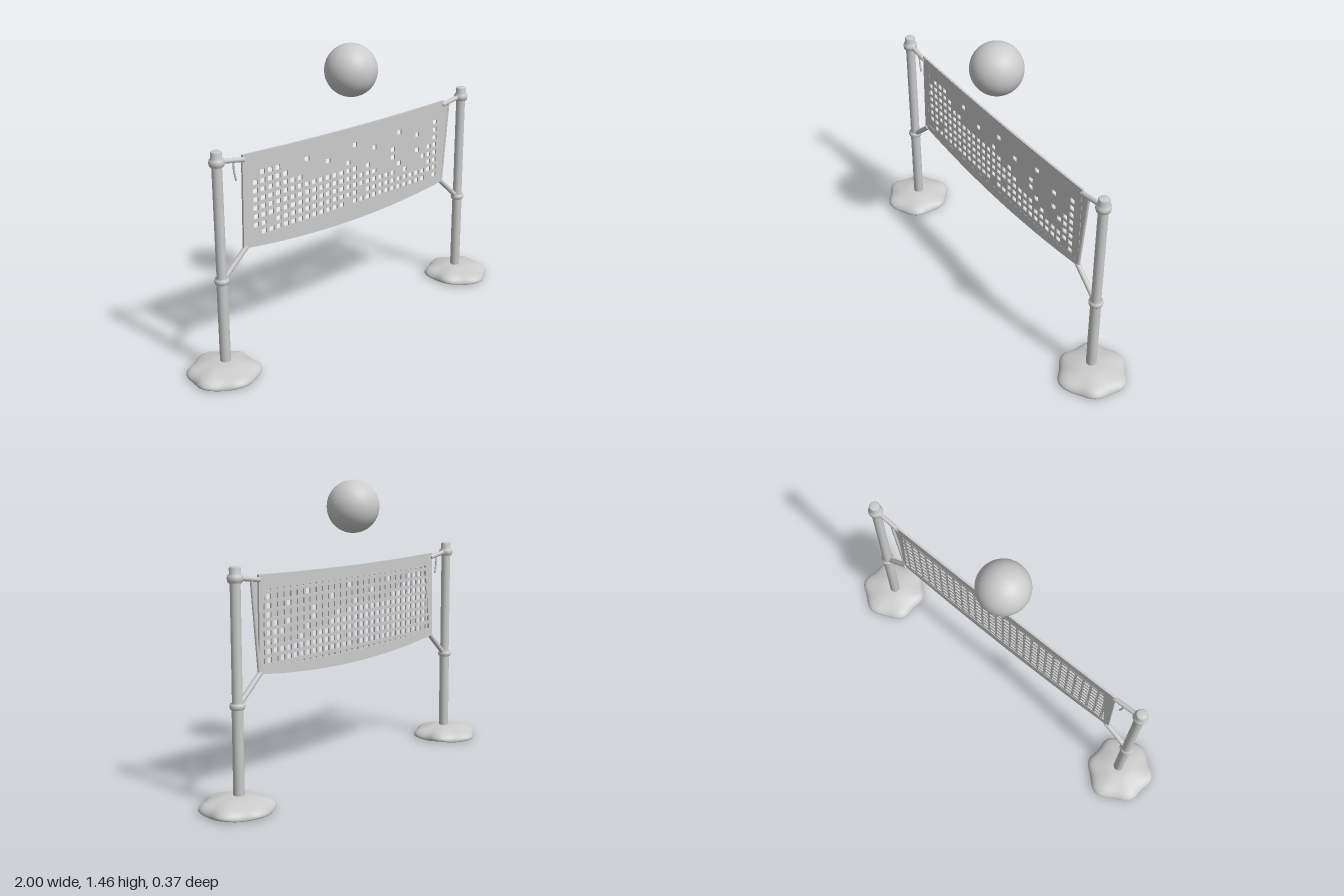
import * as THREE from 'three';

const V = (x, y, z = 0) => new THREE.Vector3(x, y, z);

export function createModel() {
  const model = new THREE.Group();
  const solid = new THREE.MeshStandardMaterial({ color: 0xcccccc });
  const sheet = new THREE.MeshStandardMaterial({ color: 0xcccccc, side: THREE.DoubleSide });

  const add = (name, geometry, parent = model, material = solid) => {
    const mesh = new THREE.Mesh(geometry, material);
    mesh.name = name;
    parent.add(mesh);
    return mesh;
  };

  // Round rod between two points
  const rod = (name, a, b, r, parent) => {
    const dir = b.clone().sub(a);
    const mesh = add(name, new THREE.CylinderGeometry(r, r, dir.length(), 12), parent);
    mesh.position.copy(a).add(b).multiplyScalar(0.5);
    mesh.quaternion.setFromUnitVectors(V(0, 1, 0), dir.normalize());
  };

  // Ball floating above the net
  add('ball', new THREE.SphereGeometry(0.13, 40, 28)).position.y = 1.341;

  // Post profile: shaft, middle collar, top collar and cap
  const postProfile = [
    [0, 0.012], [0.026, 0.012], [0.026, 0.47], [0.033, 0.475], [0.036, 0.487], [0.033, 0.498],
    [0.024, 0.503], [0.024, 1.035], [0.034, 1.045], [0.037, 1.06], [0.034, 1.073],
    [0.026, 1.08], [0.027, 1.105], [0.022, 1.112], [0, 1.112],
  ].map(([r, y]) => new THREE.Vector2(r, y));

  // Lobed sand mound with a hollow underside
  const moundProfile = new THREE.SplineCurve([
    [0, 0.036], [0.07, 0.034], [0.13, 0.023], [0.157, 0.011], [0.168, 0.014],
    [0.166, 0.029], [0.148, 0.047], [0.11, 0.062], [0.055, 0.075], [0, 0.077],
  ].map(([r, y]) => new THREE.Vector2(r, y))).getPoints(36);
  moundProfile.forEach((p) => { p.x = Math.max(p.x, 0); });

  const moundGeometry = () => {
    const g = new THREE.LatheGeometry(moundProfile, 84);
    const p = g.attributes.position;
    for (let i = 0; i < p.count; i++) {
      const x = p.getX(i), z = p.getZ(i), a = Math.atan2(z, x);
      const t = Math.hypot(x, z) / 0.168;
      const wave = Math.cos(6 * a + 0.35 * Math.sin(2 * a) + 2.6);
      const s = 1 + (0.05 * wave + 0.02 * Math.cos(3 * a + 1)) * t ** 3;
      p.setXYZ(i, x * s, p.getY(i) + 0.004 * t ** 3 * wave, z * s * 1.03);
    }
    g.computeVertexNormals();
    return g;
  };

  for (const side of [-1, 1]) {
    const stand = new THREE.Group();
    stand.name = side > 0 ? 'leftStand' : 'rightStand';
    model.add(stand);
    add('post', new THREE.LatheGeometry(postProfile, 24), stand).position.x = side * 0.815;
    const mound = add('sandBase', moundGeometry(), stand);
    mound.position.x = side * 0.828;
    if (side < 0) mound.rotation.y = Math.PI;
    add('postFoot', new THREE.SphereGeometry(0.028, 16, 12), stand).position.set(side * 0.815, 0.036, 0);
    rod('topTie', V(side * 0.81, 1.062), V(side * 0.665, 1.04), 0.012, stand);
    rod('bottomTie', V(side * 0.81, 0.485), V(side * 0.665, 0.615), 0.013, stand);
  }

  // Net border band with a sagging lower edge
  const net = new THREE.Group();
  net.name = 'net';
  model.add(net);
  const band = new THREE.Shape();
  band.moveTo(-0.685, 0.61);
  band.quadraticCurveTo(0, 0.515, 0.675, 0.61);
  band.lineTo(0.672, 1.064);
  band.quadraticCurveTo(0, 1.04, -0.675, 1.064);
  band.closePath();
  const opening = new THREE.Path();
  opening.moveTo(-0.655, 0.64);
  opening.lineTo(-0.612, 1.0);
  opening.quadraticCurveTo(0, 0.985, 0.64, 1.0);
  opening.lineTo(0.657, 0.64);
  opening.quadraticCurveTo(0, 0.605, -0.655, 0.64);
  band.holes.push(opening);
  const bandGeometry = new THREE.ExtrudeGeometry(band, { depth: 0.011, bevelEnabled: false, curveSegments: 24 });
  add('netBorder', bandGeometry.translate(0, 0, -0.0055), net);

  // Crossing strands
  const cols = 28, rows = 8, dx = 0.045, dy = 0.042, x0 = -0.607, y0 = 0.664;
  for (let j = 0; j <= rows; j++) {
    const y = y0 + (j - 0.5) * dy;
    const left = -0.655 + (y - 0.64) * 0.12;
    add('crossStrand', new THREE.BoxGeometry(0.655 - left, 0.016, 0.009), net).position.set((0.655 + left) / 2, y, 0);
  }
  for (let i = 0; i <= cols; i++) {
    const x = x0 + (i - 0.5) * dx;
    add('uprightStrand', new THREE.BoxGeometry(0.014, 0.37, 0.007), net).position.set(x, 0.808, 0);
  }

  // Front webbing: a thin skin that leaves the lower and outer cells open
  const skin = new THREE.Shape([[-0.658, 0.615], [0.657, 0.615], [0.645, 1.01], [-0.612, 1.01]]
    .map(([x, y]) => new THREE.Vector2(x, y)));
  const isOpen = (i, j) => {
    if (j < 2) return (i * 5 + j * 3) % 13 !== 0;
    if (j < 5) return i < 21 - (j - 2) * 3 || i > 25 || (i + j) % 4 === 0;
    return i < 6 - (j - 5) || i === cols - 1 || (i * 3 + j * 2) % 7 === 0;
  };
  for (let i = 0; i < cols; i++) {
    for (let j = 0; j < rows; j++) {
      if (!isOpen(i, j)) continue;
      const x = x0 + i * dx, y = y0 + j * dy, w = 0.0145, h = 0.012;
      skin.holes.push(new THREE.Path([[x - w, y - h], [x - w, y + h], [x + w, y + h], [x + w, y - h]]
        .map(([a, b]) => new THREE.Vector2(a, b))));
    }
  }
  add('frontWebbing', new THREE.ShapeGeometry(skin), net, sheet).position.z = 0.0048;

  // Slanted strap on the left edge with its thin flap
  rod('edgeStrap', V(0.672, 0.61), V(0.714, 1.045), 0.008, net);
  const flap = new THREE.Shape([[0.67, 0.61], [0.714, 1.045], [0.67, 1.05]].map(([x, y]) => new THREE.Vector2(x, y)));
  add('edgeFlap', new THREE.ShapeGeometry(flap), net, sheet).position.z = 0.004;

  // Loose cord end hanging from the right top tie
  const cord = new THREE.CatmullRomCurve3([V(-0.722, 1.045), V(-0.721, 1.0), V(-0.711, 0.95)]);
  add('looseCord', new THREE.TubeGeometry(cord, 10, 0.005, 8), net);

  return model;
}
